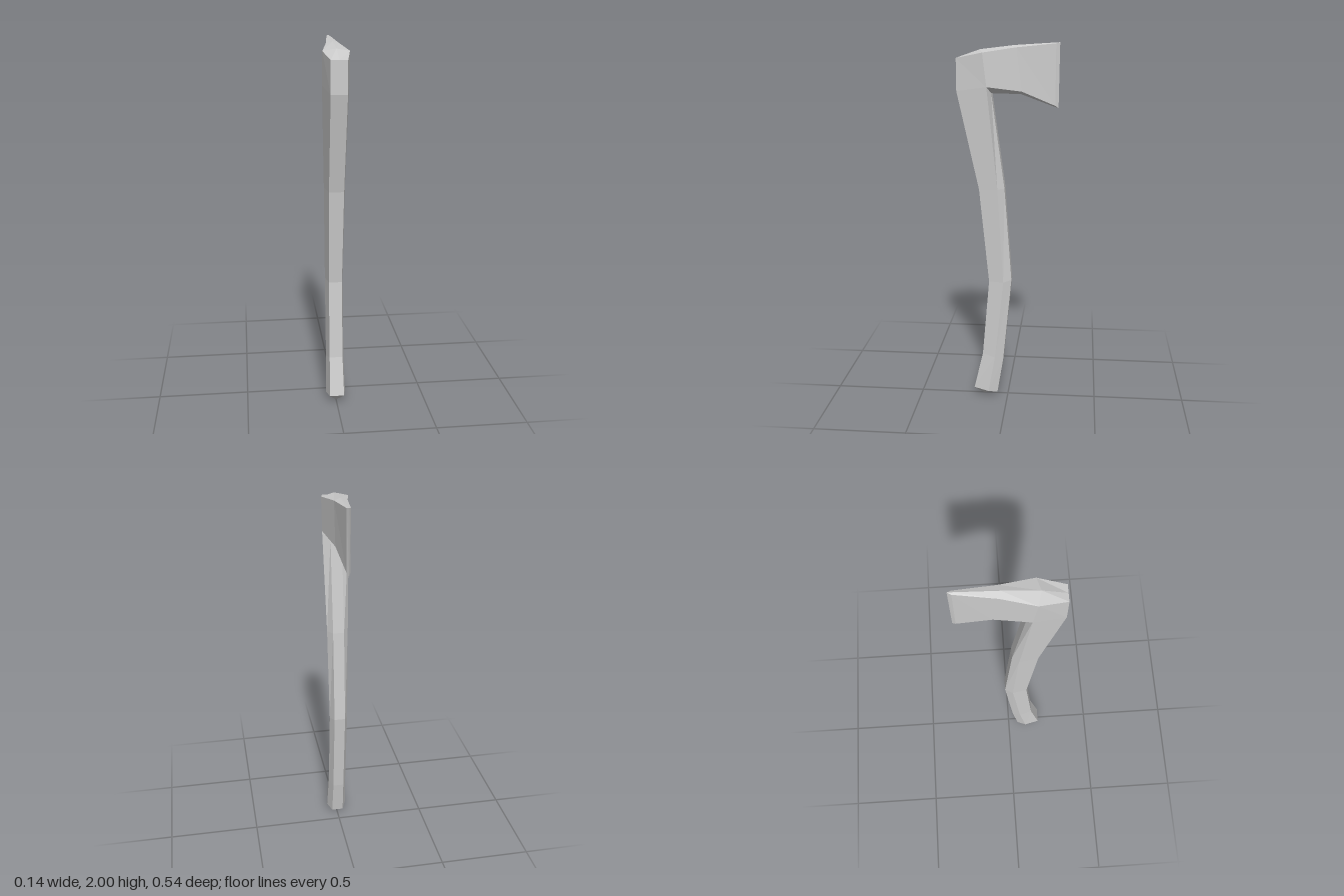
import * as THREE from 'three';

// Skin a loft of equal-length rings, closing the first ring to a centre point
function loft(name, rings, startPoint) {
  const pos = [];
  const tri = (a, b, c) => pos.push(...a, ...b, ...c);
  const n = rings[0].length;
  for (let i = 0; i < n; i++) {
    const j = (i + 1) % n;
    tri(startPoint, rings[0][j], rings[0][i]);
    for (let r = 0; r < rings.length - 1; r++) {
      const a = rings[r], b = rings[r + 1];
      tri(a[i], a[j], b[j]);
      tri(a[i], b[j], b[i]);
    }
  }
  const geo = new THREE.BufferGeometry();
  geo.setAttribute('position', new THREE.Float32BufferAttribute(pos, 3));
  geo.computeVertexNormals();
  const mesh = new THREE.Mesh(geo, new THREE.MeshStandardMaterial({ color: 0xcccccc, flatShading: true }));
  mesh.name = name;
  return mesh;
}

const mirrorX = ([x, y, z]) => [-x, y, z];

export function createModel() {
  const group = new THREE.Group();
  group.name = 'axe';

  // Handle: curved six-sided shaft; each row holds front, side and back corners
  const handleRows = [
    [[0.04, 0.05, 0.19], [0.055, 0.035, 0.108], [0.032, 0.022, 0.058]],
    [[0.036, 0.265, 0.14], [0.05, 0.245, 0.07], [0.03, 0.225, 0.025]],
    [[0.036, 0.7, 0.102], [0.05, 0.7, 0.022], [0.03, 0.71, -0.022]],
    [[0.04, 1.225, 0.153], [0.057, 1.23, 0.052], [0.03, 1.23, 0.016]],
    [[0.043, 1.75, 0.267], [0.07, 1.775, 0.106], [0.03, 1.74, 0.085]],
  ];
  const handleRings = handleRows.map((h) => [...h, ...h.map(mirrorX).reverse()]);
  group.add(loft('handle', handleRings, [0, 0, 0.14]));

  // Head: from blunt poll to cutting edge; rows hold ridge, shoulder, lower side, underside
  const headRows = [
    [[0, 1.92, 0.267], [0.043, 1.92, 0.267], [0.043, 1.75, 0.267], [0.043, 1.75, 0.267]],
    [[0, 1.963, 0.145], [0.07, 1.95, 0.127], [0.07, 1.775, 0.106], [0.03, 1.74, 0.085]],
    [[0, 1.985, -0.035], [0.034, 1.975, -0.045], [0.033, 1.75, -0.075], [0.015, 1.735, -0.07]],
    [[0, 1.999, -0.25], [0.01, 1.995, -0.25], [0.01, 1.675, -0.25], [0.004, 1.668, -0.25]],
    [[0, 2, -0.27], [0, 2, -0.27], [0, 1.662, -0.267], [0, 1.662, -0.267]],
  ];
  const headRings = headRows.map((h) => [...h, ...h.slice(1).map(mirrorX).reverse()]);
  group.add(loft('axeHead', headRings, [0, 1.84, 0.267]));

  return group;
}
